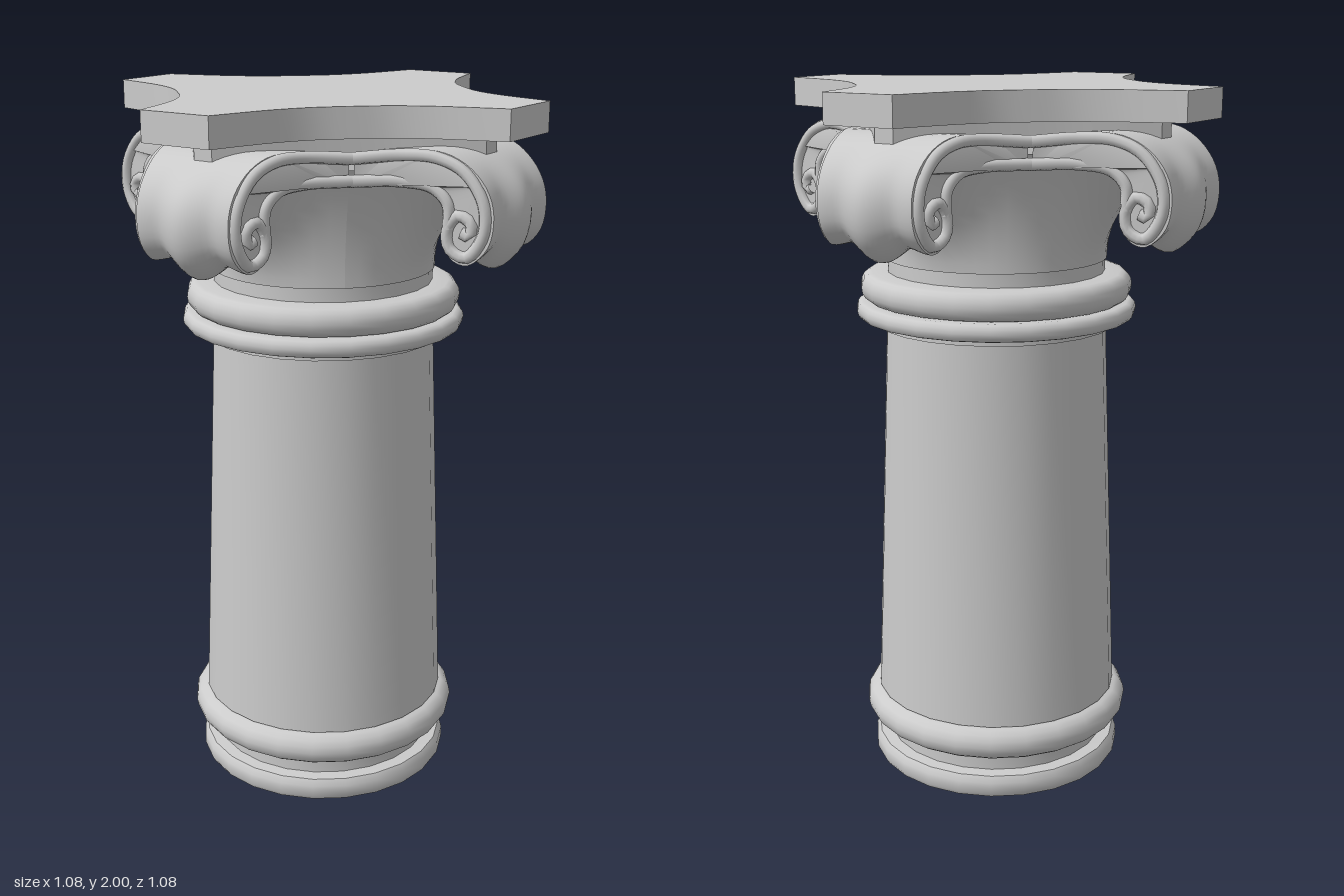
import * as THREE from 'three';
import { toCreasedNormals } from 'three/addons/utils/BufferGeometryUtils.js';

const grey = new THREE.MeshStandardMaterial({ color: 0xcccccc, side: THREE.DoubleSide });
const v2 = (p) => new THREE.Vector2(p[0], p[1]);
const QUARTER = Math.PI / 2;

function part(parent, name, geometry, crease = 0.7) {
  const mesh = new THREE.Mesh(crease ? toCreasedNormals(geometry, crease) : geometry, grey);
  mesh.name = name;
  parent.add(mesh);
}

// Rounded moulding: half ellipse from y0 to y1, swelling from r to rMax
function moulding(r, rMax, y0, y1, n = 8) {
  return Array.from({ length: n + 1 }, (_, i) => {
    const a = (i / n - 0.5) * Math.PI;
    return [r + (rMax - r) * Math.cos(a), (y0 + y1) / 2 + (y1 - y0) / 2 * Math.sin(a)];
  });
}

// Plan of the capital: each face is a hollow curve, z = 0.4 + K x^2
const K = 1.3;
const faceZ = (u) => 0.4 + K * u * u;

// Four-pointed plate with hollow sides and clipped corners; pts run along half of one side
function hollowPlate(pts, y0, y1) {
  const half = pts.map(v2);
  const side = [...half.slice(1).reverse().map((p) => new THREE.Vector2(-p.x, p.y)), ...half];
  const curve = new THREE.SplineCurve(side).getPoints(20);
  const outline = [];
  for (let k = 0; k < 4; k++) {
    for (const p of curve) outline.push(p.clone().rotateAround(new THREE.Vector2(), -k * QUARTER));
  }
  const geo = new THREE.ExtrudeGeometry(new THREE.Shape(outline), { depth: y1 - y0, bevelEnabled: false });
  return geo.rotateX(-QUARTER).translate(0, y0, 0);
}

// Bell: round at the neck, spreading to a hollow-sided square under the scrolls
function bellGeometry() {
  const profile = Array.from({ length: 13 }, (_, i) => new THREE.Vector2(0.32, 1.52 + 0.32 * i / 12));
  const geo = new THREE.LatheGeometry(profile, 48);
  const pos = geo.attributes.position;
  for (let i = 0; i < pos.count; i++) {
    const x = pos.getX(i), y = pos.getY(i), z = pos.getZ(i);
    const t = THREE.MathUtils.clamp((y - 1.52) / 0.32, 0, 1);
    const corner = Math.sin(2 * Math.atan2(z, x)) ** 2;
    const r = 0.315 + 0.065 * t * t + 0.15 * Math.pow(t, 1.4) * corner * corner;
    pos.setXYZ(i, x / 0.32 * r, y, z / 0.32 * r);
  }
  geo.computeVertexNormals();
  return geo;
}

// Corner scroll: side outline swept across the diagonal, with a waisted, bulging roll
function scrollGeometry() {
  const rim = new THREE.SplineCurve([
    [0, 1.885], [0.1, 1.892], [0.2, 1.893], [0.265, 1.865], [0.31, 1.81], [0.328, 1.74], [0.318, 1.66],
    [0.277, 1.61], [0.236, 1.625], [0.22, 1.68], [0.228, 1.74], [0.2, 1.79], [0.1, 1.805], [0, 1.805],
  ].map(v2)).getPoints(52);
  const shape = new THREE.Shape(rim);
  const geo = new THREE.ExtrudeGeometry(shape, { depth: 2, steps: 20, bevelEnabled: false });
  const pos = geo.attributes.position;
  const dMid = (0.27 + faceZ(0.27)) * Math.SQRT1_2, yMid = 1.72;
  for (let i = 0; i < pos.count; i++) {
    const u = pos.getX(i), t = pos.getZ(i) - 1;
    let y = pos.getY(i);
    let d = (u + faceZ(u)) * Math.SQRT1_2;
    const w = (faceZ(u) - u) * Math.SQRT1_2 * t * 0.97;
    const a = Math.abs(t);
    const swell = 0.3 * Math.max(0, 1 - (a / 0.55) ** 2) - 0.12 * Math.sin(Math.PI * a) ** 2;
    const g = THREE.MathUtils.smoothstep(1.87 - y, 0, 0.18) * THREE.MathUtils.smoothstep(u, 0.1, 0.22);
    d += (d - dMid) * swell * g;
    y += (y - yMid) * swell * g;
    pos.setXYZ(i, (d - w) * Math.SQRT1_2, y, (d + w) * Math.SQRT1_2);
  }
  return geo;
}

// Raised bead lying on a hollow face, given by (distance from centre, height)
function beadGeometry(points, radius, sign) {
  const path = new THREE.CatmullRomCurve3(
    points.map(([u, y]) => new THREE.Vector3(sign * u, y, faceZ(u) - 0.004)));
  return new THREE.TubeGeometry(path, 48, radius, 8);
}

export function createModel() {
  const model = new THREE.Group();
  model.name = 'column';

  // Base, shaft and collar turned as one open shell
  const profile = [
    [0.365, 0], [0.372, 0.012], [0.372, 0.045], [0.36, 0.062], [0.325, 0.065], [0.325, 0.11], [0.35, 0.115],
    ...moulding(0.35, 0.395, 0.12, 0.215),
    [0.358, 0.217], [0.315, 1.33], [0.34, 1.33], [0.34, 1.35],
    ...moulding(0.38, 0.4, 1.35, 1.4, 6),
    ...moulding(0.355, 0.387, 1.4, 1.48),
    [0.31, 1.482], [0.31, 1.53],
  ];
  part(model, 'shaft', new THREE.LatheGeometry(profile.map(v2), 24));

  const capital = new THREE.Group();
  capital.name = 'capital';
  model.add(capital);
  part(capital, 'bell', bellGeometry(), 0);

  // Rims of the channel between the scrolls
  const spiral = [
    [0, 1.872], [0.12, 1.88], [0.2, 1.877], [0.265, 1.845], [0.308, 1.77], [0.31, 1.69], [0.275, 1.63],
    [0.238, 1.65], [0.232, 1.7], [0.255, 1.735], [0.284, 1.717], [0.28, 1.685], [0.264, 1.692],
  ];
  const lip = [[0, 1.815], [0.12, 1.815], [0.195, 1.802], [0.23, 1.765], [0.234, 1.7]];
  const scroll = scrollGeometry();
  for (let k = 0; k < 4; k++) {
    const face = new THREE.Group();
    face.name = 'capitalFace';
    face.rotation.y = k * QUARTER;
    capital.add(face);
    part(face, 'cornerScroll', scroll, 0.8);
    for (const sign of [1, -1]) {
      part(face, 'spiralBead', beadGeometry(spiral, 0.016, sign), 0);
      part(face, 'lipBead', beadGeometry(lip, 0.016, sign), 0);
    }
  }

  // Bedding plate and top slab
  part(capital, 'beddingPlate', hollowPlate([[0, 0.37], [0.1, 0.372], [0.2, 0.38], [0.35, 0.39]], 1.87, 1.925));
  part(capital, 'topSlab',
    hollowPlate([[0, 0.395], [0.1, 0.4], [0.2, 0.43], [0.29, 0.475], [0.37, 0.52]], 1.92, 2));

  return model;
}
